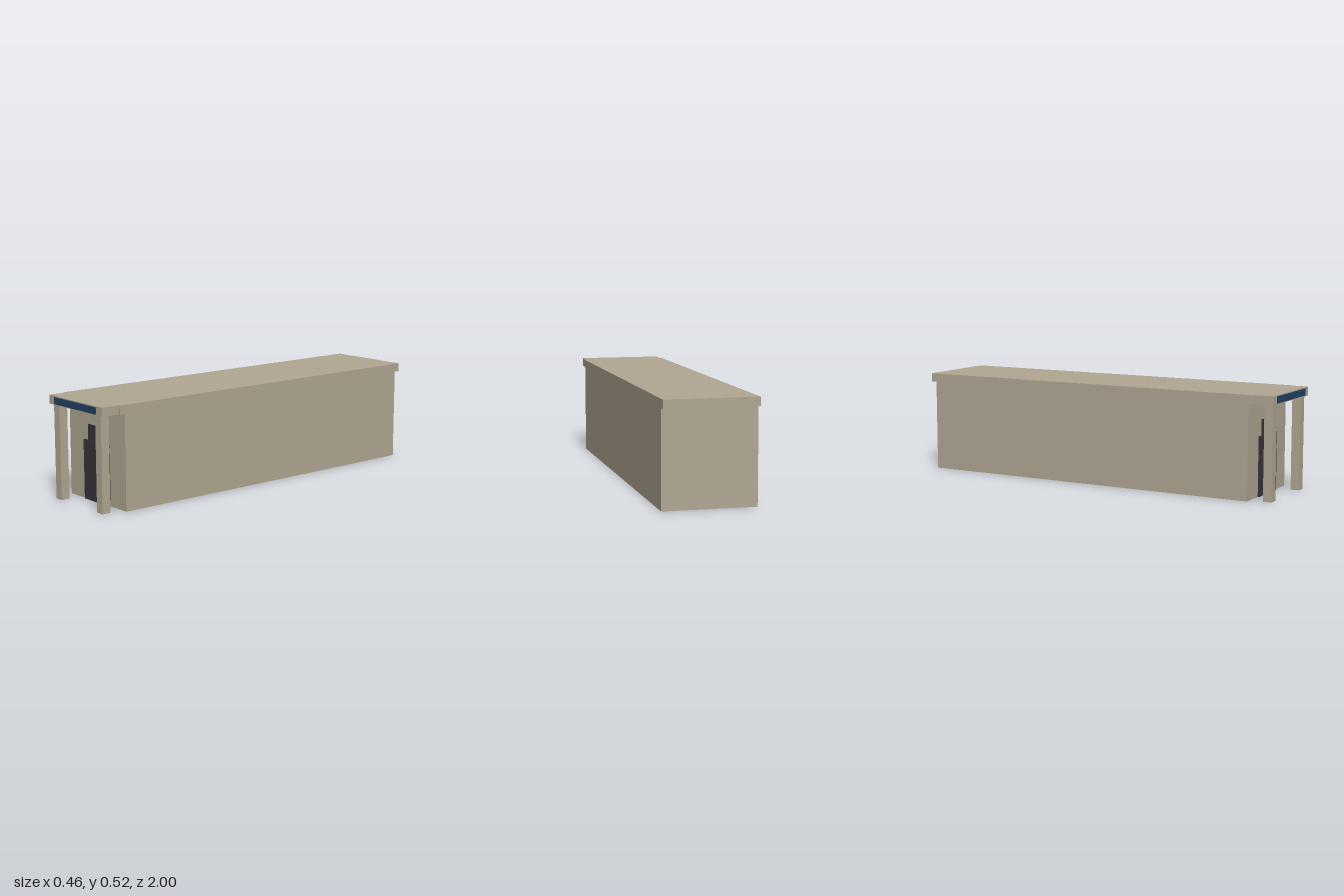
import * as THREE from 'three';

export function createModel() {
  const model = new THREE.Group();
  const mat = (name, color) => {
    const m = new THREE.MeshStandardMaterial({ color });
    m.name = name;
    return m;
  };
  const stone = mat('beige stone', 0xb0a792);
  const dark = mat('dark door', 0x37353b);
  const blue = mat('blue sign', 0x234264);

  // Box given by its minimum and maximum corners
  const block = (name, material, [x0, y0, z0], [x1, y1, z1]) => {
    const mesh = new THREE.Mesh(new THREE.BoxGeometry(x1 - x0, y1 - y0, z1 - z0), material);
    mesh.position.set((x0 + x1) / 2, (y0 + y1) / 2, (z0 + z1) / 2);
    mesh.name = name;
    model.add(mesh);
  };

  // Long hall and its overhanging roof slab
  block('hall', stone, [-0.23, 0, -0.97], [0.23, 0.473, 0.872]);
  block('roof', stone, [-0.23, 0.473, -1], [0.23, 0.517, 0.9]);

  // Narrower porch canopy on two square posts
  block('canopy', stone, [-0.22, 0.473, 0.9], [0.22, 0.517, 0.995]);
  for (const side of [-1, 1]) {
    const x = side * 0.173;
    block(side > 0 ? 'leftPost' : 'rightPost', stone, [x - 0.023, 0, 0.94], [x + 0.023, 0.473, 0.985]);
  }

  // Entrance door with a narrower panel above, and the fascia sign
  block('door', dark, [-0.103, 0.001, 0.872], [0.103, 0.3, 0.881]);
  block('doorTopPanel', dark, [-0.069, 0.3, 0.872], [0.069, 0.38, 0.877]);
  block('fasciaSign', blue, [-0.173, 0.478, 0.995], [0.173, 0.512, 1]);

  return model;
}
